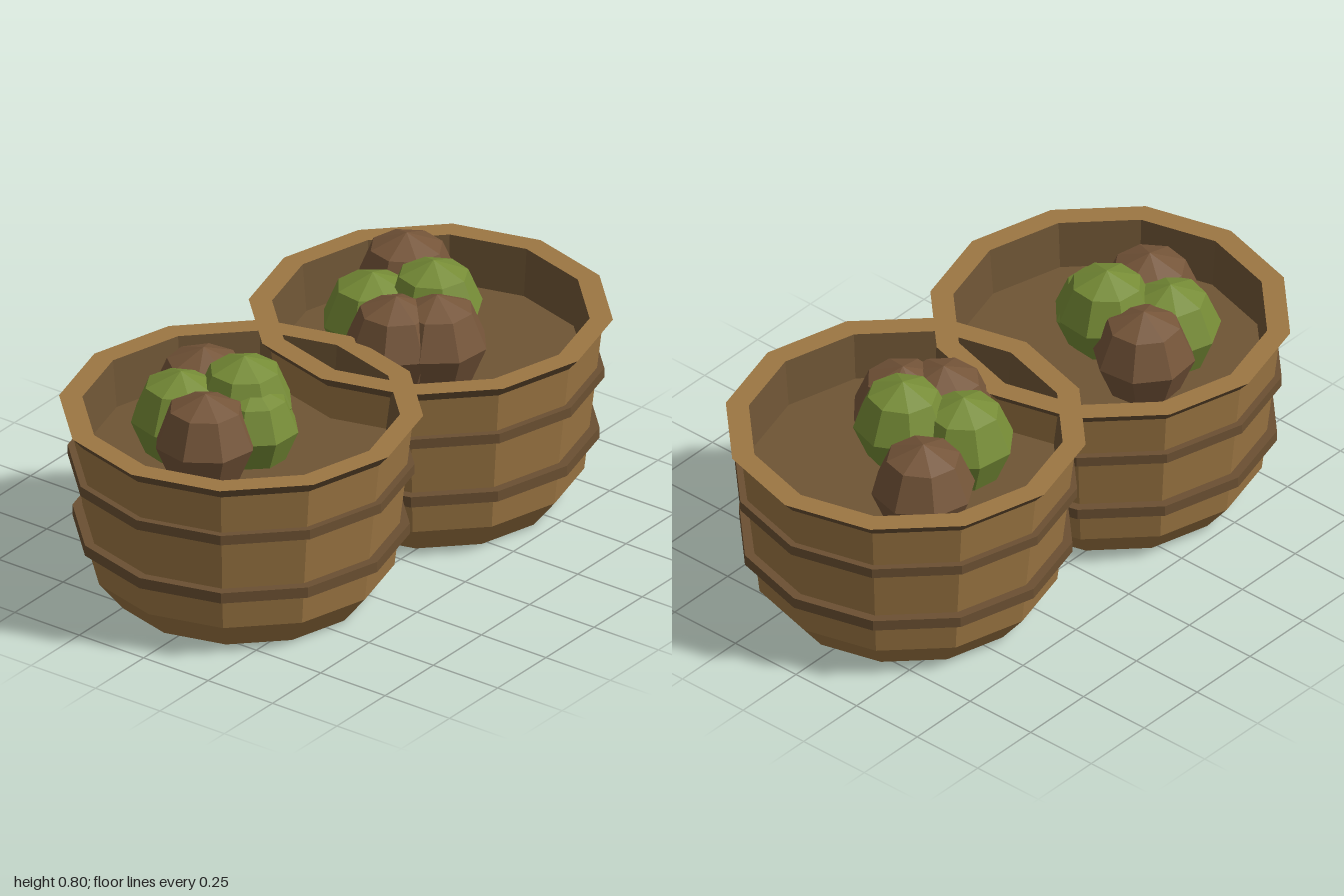
import * as THREE from 'three';

const flat = (name, color) => {
  const m = new THREE.MeshStandardMaterial({ color, flatShading: true });
  m.name = name;
  return m;
};

export function createModel() {
  const wood = flat('wood', 0x9c7643);
  const darkWood = flat('dark wood', 0x6b5032);
  const inside = flat('inside wood', 0x6f5535);
  const brown = flat('brown produce', 0x755539);
  const green = flat('green produce', 0x768c36);

  const group = new THREE.Group();
  group.name = 'twoTubsOfProduce';

  const add = (parent, name, geometry, material) => {
    const mesh = new THREE.Mesh(geometry, material);
    mesh.name = name;
    parent.add(mesh);
    return mesh;
  };

  // Twelve-sided turned part from [radius, height] pairs
  const turned = (points) =>
    new THREE.LatheGeometry(points.map(([r, y]) => new THREE.Vector2(r, y)), 12);

  const buildTub = (name, x, z) => {
    const tub = new THREE.Group();
    tub.name = name;
    tub.position.set(x, 0, z);
    add(tub, 'tubBody', turned([[0, 0], [0.4, 0], [0.48, 0.1], [0.535, 0.59]]), wood);
    add(tub, 'rimUnderside', turned([[0.535, 0.59], [0.57, 0.63]]), darkWood);
    add(tub, 'rimTop', turned([[0.57, 0.63], [0.497, 0.63]]), wood);
    add(tub, 'innerWallAndFloor', turned([[0.497, 0.63], [0.483, 0.47], [0, 0.47]]), inside);
    // Hoops around the body
    for (const [r, y0, y1] of [[0.528, 0.212, 0.248], [0.543, 0.425, 0.458]]) {
      add(tub, 'hoop', turned([[r - 0.05, y0], [r, y0], [r, y1], [r - 0.05, y1]]), darkWood);
    }
    group.add(tub);
  };
  buildTub('rightTub', -0.43, -0.048);
  buildTub('leftTub', 0.43, 0.045);

  // Low-poly produce: x, y, z, radius, turn, material
  const produce = [
    [-0.62, 0.59, -0.045, 0.163, 0.2, brown],
    [-0.375, 0.59, -0.235, 0.163, 0.5, brown],
    [-0.54, 0.59, -0.2, 0.16, 0.1, green],
    [-0.455, 0.59, 0.022, 0.143, 0.35, green],
    [-0.415, 0.642, -0.047, 0.157, 0.3, green],
    [0.605, 0.59, -0.18, 0.165, 0.15, brown],
    [0.25, 0.59, 0.045, 0.163, 0.4, brown],
    [0.335, 0.59, 0.14, 0.163, 0.3, brown],
    [0.335, 0.59, -0.11, 0.163, 0.25, green],
    [0.443, 0.642, 0.046, 0.157, 0.1, green],
  ];
  for (const [x, y, z, r, turn, material] of produce) {
    const name = material === green ? 'greenProduce' : 'brownProduce';
    const ball = add(group, name, new THREE.SphereGeometry(r, 8, 4), material);
    ball.position.set(x, y, z);
    ball.rotation.y = turn;
  }
  return group;
}
